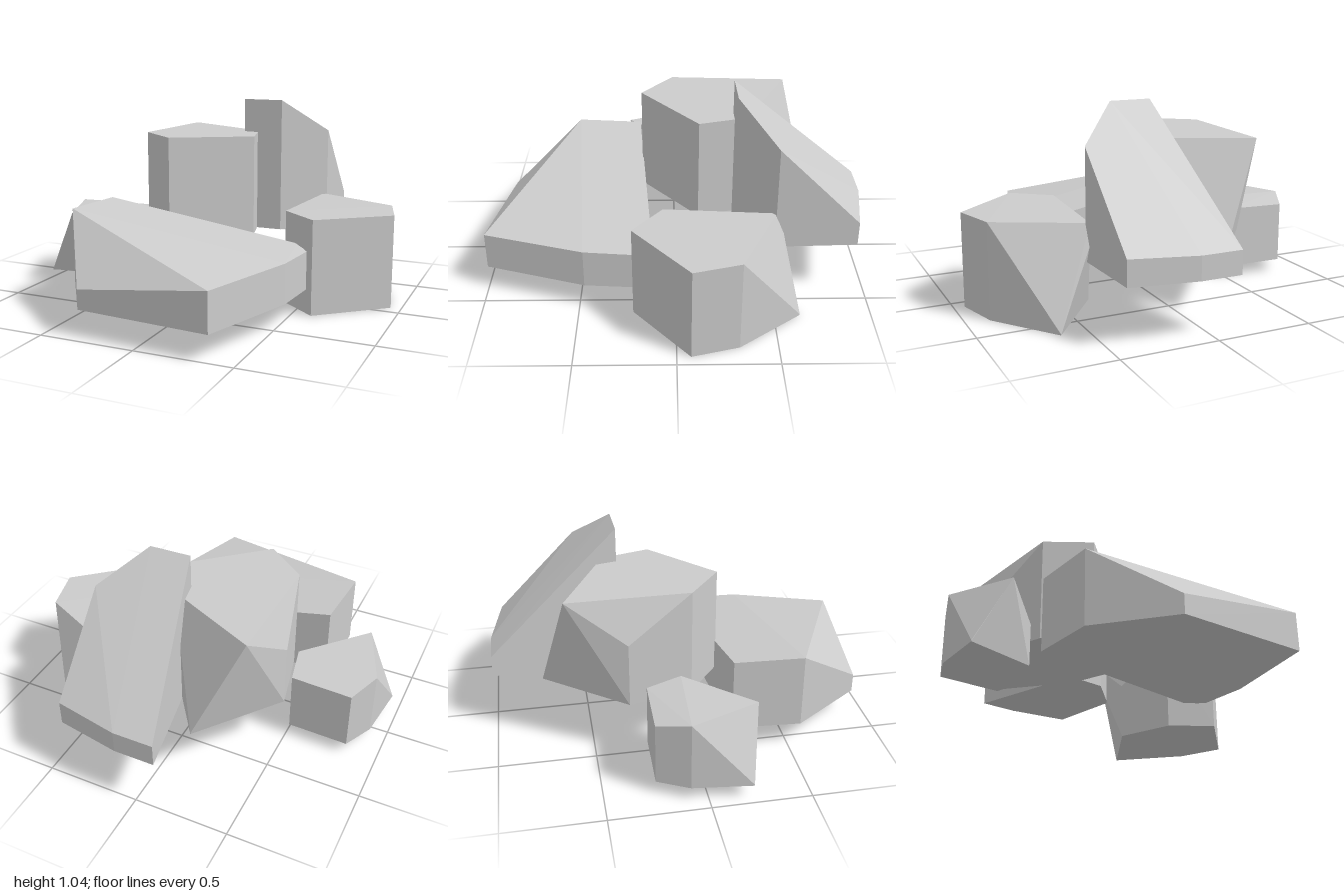
import * as THREE from 'three';
import { ConvexGeometry } from 'three/addons/geometries/ConvexGeometry.js';

const material = new THREE.MeshStandardMaterial({ color: 0xcccccc, flatShading: true });

// A faceted stone: corners [x, z, topHeight] rise from a flat base;
// overhangs [x, z, height] are corners that do not reach the base.
function stone(name, baseY, corners, overhangs = []) {
  const points = [];
  for (const [x, z, top] of corners) {
    points.push(new THREE.Vector3(x, baseY, z), new THREE.Vector3(x, top, z));
  }
  for (const [x, z, y] of overhangs) points.push(new THREE.Vector3(x, y, z));
  const mesh = new THREE.Mesh(new ConvexGeometry(points), material);
  mesh.name = name;
  return mesh;
}

export function createModel() {
  const group = new THREE.Group();
  group.name = 'rockCluster';

  // Broad slab with a sloping top and a bevelled front
  group.add(stone('frontSlab', 0.13, [
    [-0.56, 0.20, 0.52], [0.49, 0.12, 0.345], [0.565, 0.20, 0.33], [0.545, 0.47, 0.335],
    [0.375, 0.995, 0.33], [-0.33, 0.935, 0.23], [-0.585, 0.56, 0.525],
  ]));

  // Blocky stone on the left, undercut at the back
  group.add(stone('leftStone', 0, [
    [0.335, -0.24, 0.30], [0.405, 0.065, 0.50], [0.60, 0.22, 0.50],
    [0.945, -0.07, 0.495], [0.88, -0.31, 0.495], [0.635, -0.635, 0.005],
  ], [[0.435, -0.515, 0.49], [0.45, -0.55, 0.39]]));

  // Raised block in the middle, undercut at the back
  group.add(stone('middleStone', 0.3, [
    [-0.51, -0.32, 0.64], [-0.435, 0.01, 0.865], [-0.22, 0.18, 0.865],
    [0.15, -0.125, 0.855], [0.08, -0.38, 0.855], [-0.18, -0.74, 0.305],
  ], [[-0.42, -0.62, 0.855]]));

  // Tall wedge falling steeply to the back
  group.add(stone('backWedge', 0.3, [
    [-0.115, -1.0, 0.42], [0.10, -1.0, 0.42], [0.44, -0.94, 0.43],
    [0.455, -0.51, 0.86], [0.24, -0.315, 1.04], [0.02, -0.31, 1.04],
  ]));

  // Small stone on the right with a slanted outer face
  group.add(stone('smallStone', 0.065, [
    [-0.84, -0.245, 0.39], [-0.515, -0.235, 0.395], [-0.48, -0.055, 0.425],
    [-0.59, 0.15, 0.28], [-0.955, 0.22, 0.07], [-0.92, -0.085, 0.425],
  ], [[-0.78, 0.27, 0.425]]));

  return group;
}
